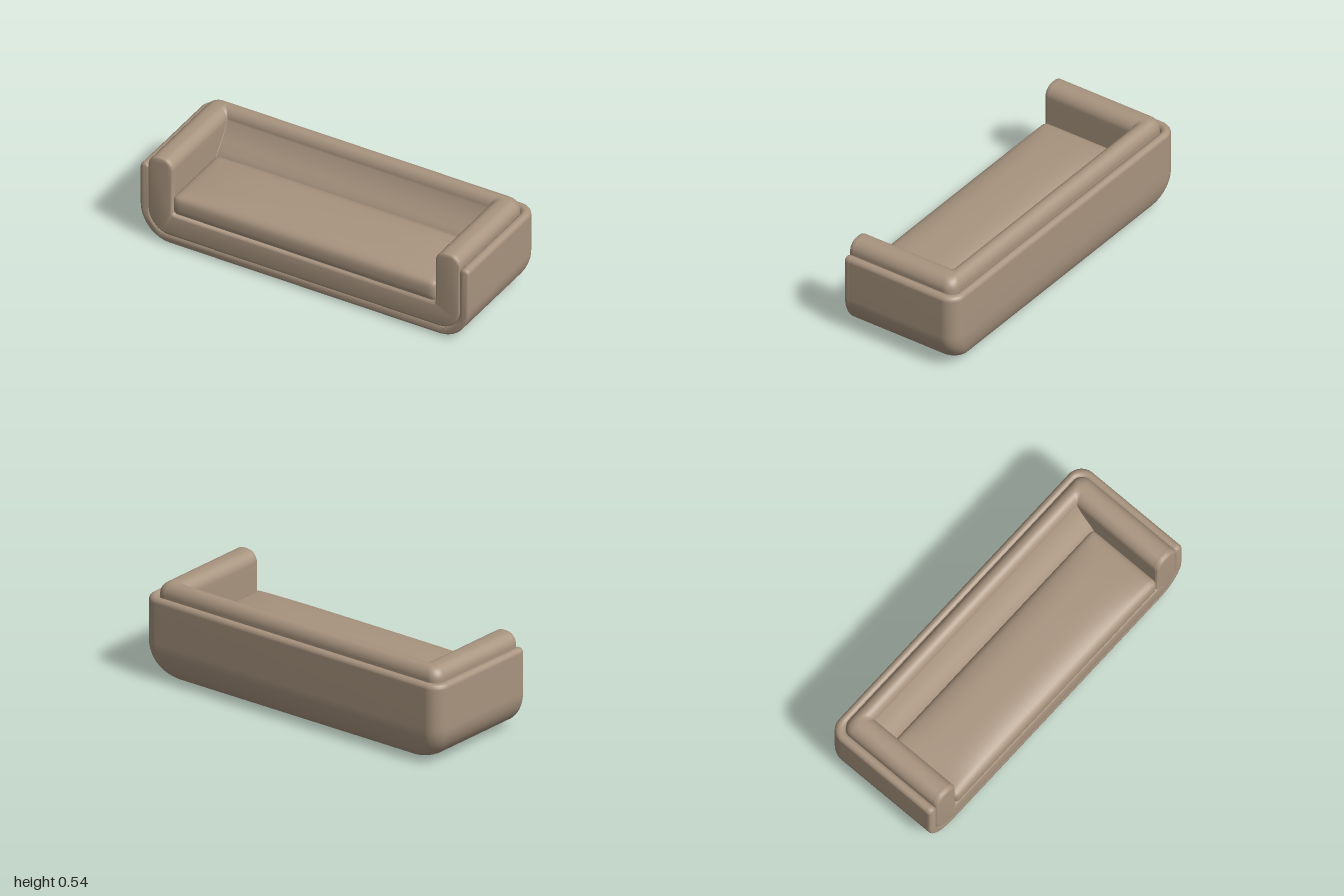
import * as THREE from 'three';
import { mergeVertices, toCreasedNormals } from 'three/addons/utils/BufferGeometryUtils.js';

const PI = Math.PI;

// Wall running from the front, round the two back corners, to the front again.
// Each profile row is [halfWidth, y, backZ, cornerRadius].
function wallLoft(profile, frontZ) {
  const pos = [], index = [], steps = 12;
  for (const [w, y, b, r] of profile) {
    const half = [[w, frontZ]];
    for (let i = 0; i <= steps; i++) {
      const a = (i / steps) * PI / 2;
      half.push([w - r + r * Math.cos(a), b + r - r * Math.sin(a)]);
    }
    for (const [x, z] of half) pos.push(x, y, z);
    for (const [x, z] of half.reverse()) pos.push(-x, y, z);
  }
  const n = 2 * (steps + 2);
  for (let j = 0; j < profile.length - 1; j++) {
    for (let i = 0; i < n - 1; i++) {
      const a = j * n + i, c = a + n;
      index.push(a, a + 1, c, a + 1, c + 1, c);
    }
  }
  const g = new THREE.BufferGeometry();
  g.setAttribute('position', new THREE.Float32BufferAttribute(pos, 3));
  g.setIndex(index);
  g.computeVertexNormals();
  return g;
}

// U-shaped front panel with rounded tips and softly bevelled edges
function uPanel({ o, bottom, rx, ry, top, i, floor, ir, cap, front }) {
  const s = new THREE.Shape();
  s.moveTo(-o + rx, bottom);
  s.lineTo(o - rx, bottom);
  s.absellipse(o - rx, bottom + ry, rx, ry, -PI / 2, 0);
  s.absarc(o - cap, top - cap, cap, 0, PI / 2);
  s.absarc(i + cap, top - cap, cap, PI / 2, PI);
  s.absarc(i - ir, floor + ir, ir, 0, -PI / 2, true);
  s.absarc(-i + ir, floor + ir, ir, -PI / 2, -PI, true);
  s.absarc(-i - cap, top - cap, cap, 0, PI / 2);
  s.absarc(-o + cap, top - cap, cap, PI / 2, PI);
  s.absellipse(-o + rx, bottom + ry, rx, ry, PI, 1.5 * PI);
  const bevel = 0.014, depth = 0.02;
  const g = new THREE.ExtrudeGeometry(s, {
    depth, bevelEnabled: true, bevelSize: bevel, bevelOffset: -bevel,
    bevelThickness: bevel, bevelSegments: 4, curveSegments: 14,
  });
  g.translate(0, 0, front - depth - bevel);
  return toCreasedNormals(g, 0.7);
}

// Rounded cushion with a crowned top and slightly bulging front
function cushionGeometry(w, h, d, r) {
  let g = new THREE.BoxGeometry(w, h, d, 64, 8, 24);
  const p = g.attributes.position;
  const v = new THREE.Vector3(), c = new THREE.Vector3();
  const lim = new THREE.Vector3(w / 2 - r, h / 2 - r, d / 2 - r);
  for (let k = 0; k < p.count; k++) {
    v.fromBufferAttribute(p, k);
    c.copy(v).clamp(lim.clone().negate(), lim);
    v.sub(c).setLength(r).add(c);
    const u = 2 * v.x / w, t = 2 * v.z / d;
    if (v.y > 0) v.y += 0.035 * (1 - u ** 4) * (1 - t ** 4) * (2 * v.y / h);
    if (v.z > 0) v.z += 0.008 * (1 - (2 * v.y / h) ** 2) * t;
    p.setXYZ(k, v.x, v.y, v.z);
  }
  g.deleteAttribute('uv');
  g.deleteAttribute('normal');
  g = mergeVertices(g);
  g.computeVertexNormals();
  return g;
}

export function createModel() {
  const group = new THREE.Group();
  const fabric = new THREE.MeshStandardMaterial({ color: 0xa8947f });
  fabric.name = 'taupe fabric';
  fabric.side = THREE.DoubleSide;
  const footPaint = new THREE.MeshStandardMaterial({ color: 0x8a8068 });
  footPaint.name = 'foot olive grey';

  const add = (name, geometry, material = fabric, x = 0, y = 0, z = 0) => {
    const m = new THREE.Mesh(geometry, material);
    m.name = name;
    m.position.set(x, y, z);
    group.add(m);
    return m;
  };

  // Outer shell: rounded bottom edge, upright wall, rounded rim
  const shell = [[0.6, 0.012, -0.1, 0.05]];
  for (let k = 0; k <= 12; k++) {
    const a = (k / 12) * PI / 2, s = Math.sin(a);
    shell.push([0.82 + 0.18 * s, 0.21 - 0.198 * Math.cos(a), -0.275 - 0.085 * s, 0.07 + 0.02 * s]);
  }
  for (let k = 0; k <= 8; k++) {
    const a = (k / 8) * PI, q = Math.cos(a);
    shell.push([0.9725 + 0.0275 * q, 0.438 + 0.0275 * Math.sin(a), -0.335 - 0.025 * q, 0.07 + 0.02 * q]);
  }
  shell.push([0.945, 0.38, -0.31, 0.05]);
  add('outerShell', wallLoft(shell, 0.335));
  add('shellFront', uPanel({
    o: 1, bottom: 0.012, rx: 0.18, ry: 0.198, top: 0.465,
    i: 0.945, floor: 0.068, ir: 0.125, cap: 0.027, front: 0.355,
  }));
  add('underside', new THREE.BoxGeometry(1.5, 0.06, 0.46), fabric, 0, 0.042, 0.1);

  // Inner padding: arms and sloping backrest in one mitred sweep
  const pad = [[0.95, 0.38, -0.31, 0.06]];
  for (let k = 0; k <= 16; k++) {
    const a = (k / 16) * PI, q = Math.cos(a);
    const flat = k < 8 ? 0.01 : k > 8 ? -0.01 : 0;
    pad.push([0.875 + flat + 0.065 * q, 0.47 + 0.065 * Math.sin(a), -0.2575 - 0.0525 * q, 0.033 + 0.028 * q]);
  }
  pad.push(
    [0.8, 0.42, -0.178, 0.004], [0.8, 0.38, -0.15, 0.004], [0.8, 0.34, -0.115, 0.004],
    [0.8, 0.3, -0.088, 0.004], [0.8, 0.26, -0.08, 0.004], [0.8, 0.19, -0.08, 0.004],
  );
  add('armsAndBackrest', wallLoft(pad, 0.34));
  add('paddingFront', uPanel({
    o: 0.95, bottom: 0.062, rx: 0.13, ry: 0.14, top: 0.535,
    i: 0.8, floor: 0.2, ir: 0.01, cap: 0.065, front: 0.358,
  }));

  // Seat
  add('seatPlatform', new THREE.BoxGeometry(1.7, 0.13, 0.45), fabric, 0, 0.132, 0.115);
  add('seatCushion', cushionGeometry(1.6, 0.12, 0.45, 0.026), fabric, 0, 0.262, 0.129);

  // Small feet
  for (const side of [-1, 1]) {
    add(side > 0 ? 'leftFoot' : 'rightFoot',
      new THREE.CylinderGeometry(0.012, 0.009, 0.016, 16), footPaint, side * 0.82, 0.008, -0.075);
  }
  return group;
}
